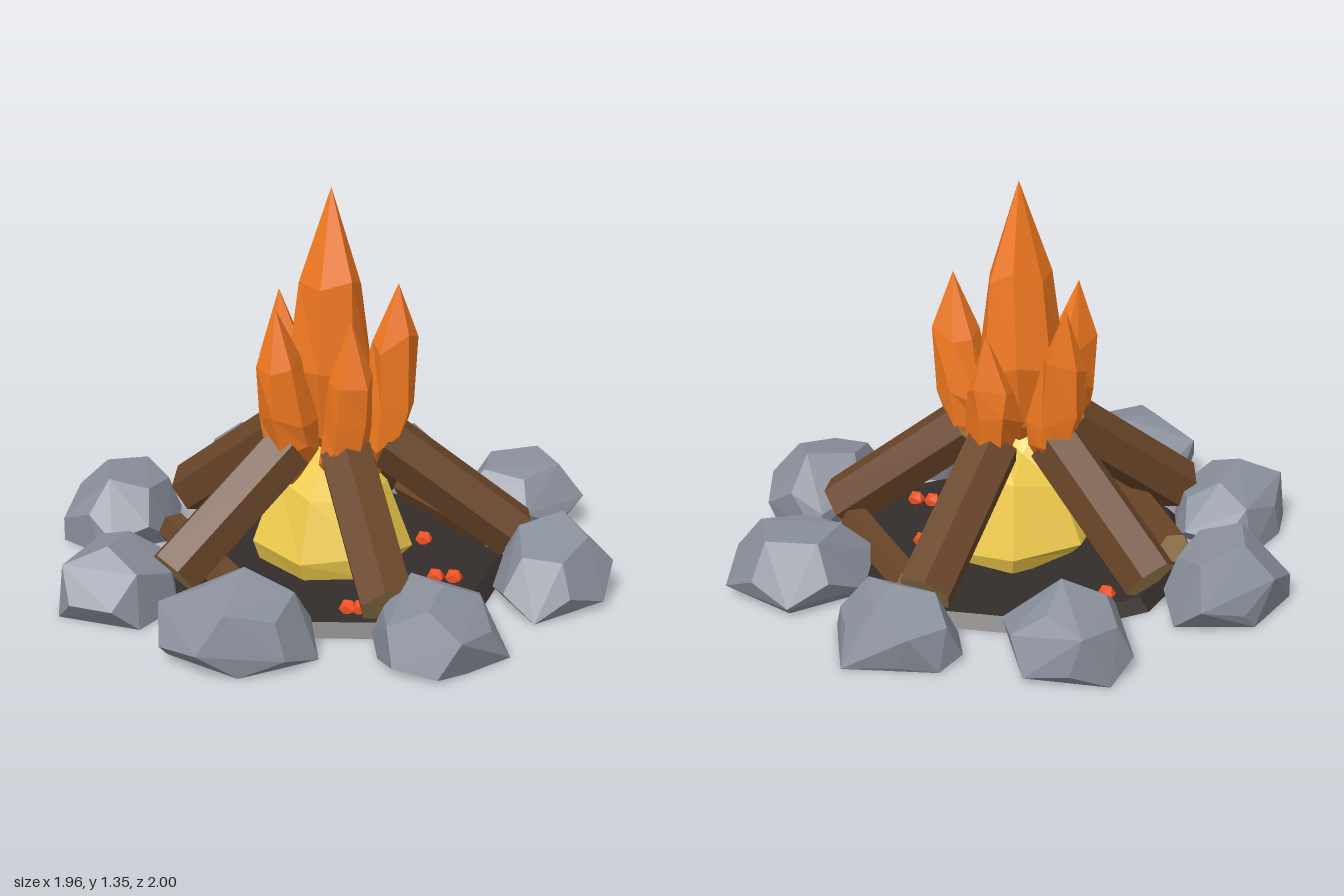
import * as THREE from 'three';
import { ConvexGeometry } from 'three/addons/geometries/ConvexGeometry.js';

const mat = (color, side = THREE.FrontSide) =>
  new THREE.MeshStandardMaterial({ color, flatShading: true, side });
const stoneMat = mat(0x8a909c);
const barkMat = mat(0x694529);
const cutMat = mat(0xa58555);
const ashMat = mat(0x332d2a);
const flameMat = mat(0xf07820, THREE.DoubleSide);
const coreMat = mat(0xecc84a, THREE.DoubleSide);
const emberMat = mat(0xf0501e);

// Repeatable noise in -0.5..0.5 from a position, so shared corners move together
function noise(x, y, z, seed) {
  const q = (v) => Math.round(v * 1000) / 1000;
  const s = Math.sin(q(x) * 12.99 + q(y) * 78.23 + q(z) * 37.72 + seed * 5.31) * 43758.5;
  return s - Math.floor(s) - 0.5;
}

function warp(geometry, rule) {
  const p = geometry.attributes.position;
  const v = new THREE.Vector3();
  for (let i = 0; i < p.count; i++) {
    rule(v.fromBufferAttribute(p, i));
    p.setXYZ(i, v.x, v.y, v.z);
  }
  return geometry;
}

function add(parent, name, geometry, material) {
  const mesh = new THREE.Mesh(geometry, material);
  mesh.name = name;
  parent.add(mesh);
  return mesh;
}

// Convex faceted boulder with a broad flat underside, fitted to a footprint and height
function stone([x0, x1, z0, z1, h], seed) {
  const ball = new THREE.DodecahedronGeometry(1, 0).rotateX(seed * 1.3).rotateY(seed * 2.1);
  const p = ball.attributes.position;
  const corners = new Map();
  for (let i = 0; i < p.count; i++) {
    const v = new THREE.Vector3().fromBufferAttribute(p, i);
    const key = v.toArray().map((c) => Math.round(c * 100)).join();
    if (corners.has(key)) continue;
    corners.set(key, v);
    v.multiplyScalar(1 + 0.22 * noise(v.x, v.y, v.z, seed));
    if (v.y < -0.4) v.set(v.x * 1.3, -0.4, v.z * 1.3);
  }
  const g = new ConvexGeometry([...corners.values()]);
  g.computeBoundingBox();
  const { min, max } = g.boundingBox;
  const fit = (v, a, b, lo, hi) => lo + ((v - a) / (b - a)) * (hi - lo);
  warp(g, (v) => v.set(
    fit(v.x, min.x, max.x, x0, x1),
    fit(v.y, min.y, max.y, 0, h),
    fit(v.z, min.z, max.z, z0, z1)));
  g.computeVertexNormals();
  return g;
}

// Six-sided log between two points, with pale cut ends
function log(parent, name, a, b, radius) {
  const dir = b.clone().sub(a);
  const g = new THREE.CylinderGeometry(radius, radius, dir.length(), 6).rotateY(0.35);
  const mesh = add(parent, name, g, [barkMat, cutMat, cutMat]);
  mesh.position.copy(a).add(b).multiplyScalar(0.5);
  mesh.quaternion.setFromUnitVectors(new THREE.Vector3(0, 1, 0), dir.normalize());
}

// Pointed faceted tongue of fire from a radius/height profile
function flame(profile, sides, seed, amount) {
  const pts = profile.map(([r, y]) => new THREE.Vector2(r, y));
  return warp(new THREE.LatheGeometry(pts, sides), (v) => {
    const { x, y, z } = v;
    if (Math.hypot(x, z) < 0.001) return;
    v.x += amount * noise(x, y, z, seed);
    v.y += amount * 2 * noise(x, y, z, seed + 1);
    v.z += amount * noise(x, y, z, seed + 2);
  });
}

export function createModel() {
  const fire = new THREE.Group();
  fire.name = 'campfire';

  // Ash bed
  const ash = add(fire, 'ashBed', new THREE.CylinderGeometry(0.59, 0.63, 0.04, 10), ashMat);
  ash.position.y = 0.02;

  // Ring of stones: x from/to, z from/to, height
  const ring = new THREE.Group();
  ring.name = 'stoneRing';
  fire.add(ring);
  [
    [-0.22, 0.26, -1.0, -0.64, 0.23],
    [0.28, 0.75, -0.82, -0.35, 0.23],
    [0.6, 0.98, -0.25, 0.25, 0.25],
    [0.32, 0.78, 0.31, 0.76, 0.23],
    [-0.3, 0.21, 0.57, 1.0, 0.26],
    [-0.76, -0.36, 0.29, 0.77, 0.23],
    [-0.98, -0.59, -0.29, 0.21, 0.25],
    [-0.72, -0.28, -0.8, -0.38, 0.26],
  ].forEach((s, i) => add(ring, 'stone', stone(s, i + 1), stoneMat));

  // Five leaning logs, with a tongue of flame above each
  const tips = [0.88, 1.02, 0.95, 0.97, 0.96];
  for (let i = 0; i < 5; i++) {
    const angle = ((-90 + i * 72) * Math.PI) / 180;
    const at = (r, y) => new THREE.Vector3(r * Math.cos(angle), y, r * Math.sin(angle));
    log(fire, 'leaningLog', at(0.635, 0.122), at(0.18, 0.468), 0.098);

    const top = tips[i];
    const g = flame([[0, 0.32], [0.085, 0.47], [0.1, 0.58], [0.075, top - 0.2], [0, top]], 6, i * 7 + 2, 0.035);
    warp(g, (v) => {
      const lean = at(0.16 + 0.065 * ((v.y - 0.32) / (top - 0.32)), 0);
      v.x += lean.x;
      v.z += lean.z;
    });
    add(fire, 'outerFlame', g, flameMat);
  }

  // Two logs lying on the ash
  log(fire, 'lyingLog', new THREE.Vector3(0.1, 0.09, -0.56), new THREE.Vector3(0.52, 0.09, -0.24), 0.06);
  log(fire, 'lyingLog', new THREE.Vector3(-0.55, 0.09, 0.1), new THREE.Vector3(-0.13, 0.09, 0.52), 0.06);

  // Tall centre flame and yellow heart
  add(fire, 'centreFlame',
    flame([[0, 0.38], [0.1, 0.5], [0.15, 0.72], [0.105, 1.04], [0, 1.35]], 7, 4, 0.03), flameMat);
  add(fire, 'yellowHeart',
    flame([[0, 0.04], [0.25, 0.05], [0.28, 0.1], [0.19, 0.32], [0.08, 0.43], [0, 0.5]], 7, 9, 0.03), coreMat);

  // Glowing embers
  for (const [x, z] of [[0.41, 0.1], [0.47, 0.085], [0.21, 0.43], [0.25, 0.42], [0.28, -0.19], [-0.46, -0.23]]) {
    add(fire, 'ember', new THREE.IcosahedronGeometry(0.032, 0), emberMat).position.set(x, 0.05, z);
  }
  return fire;
}
